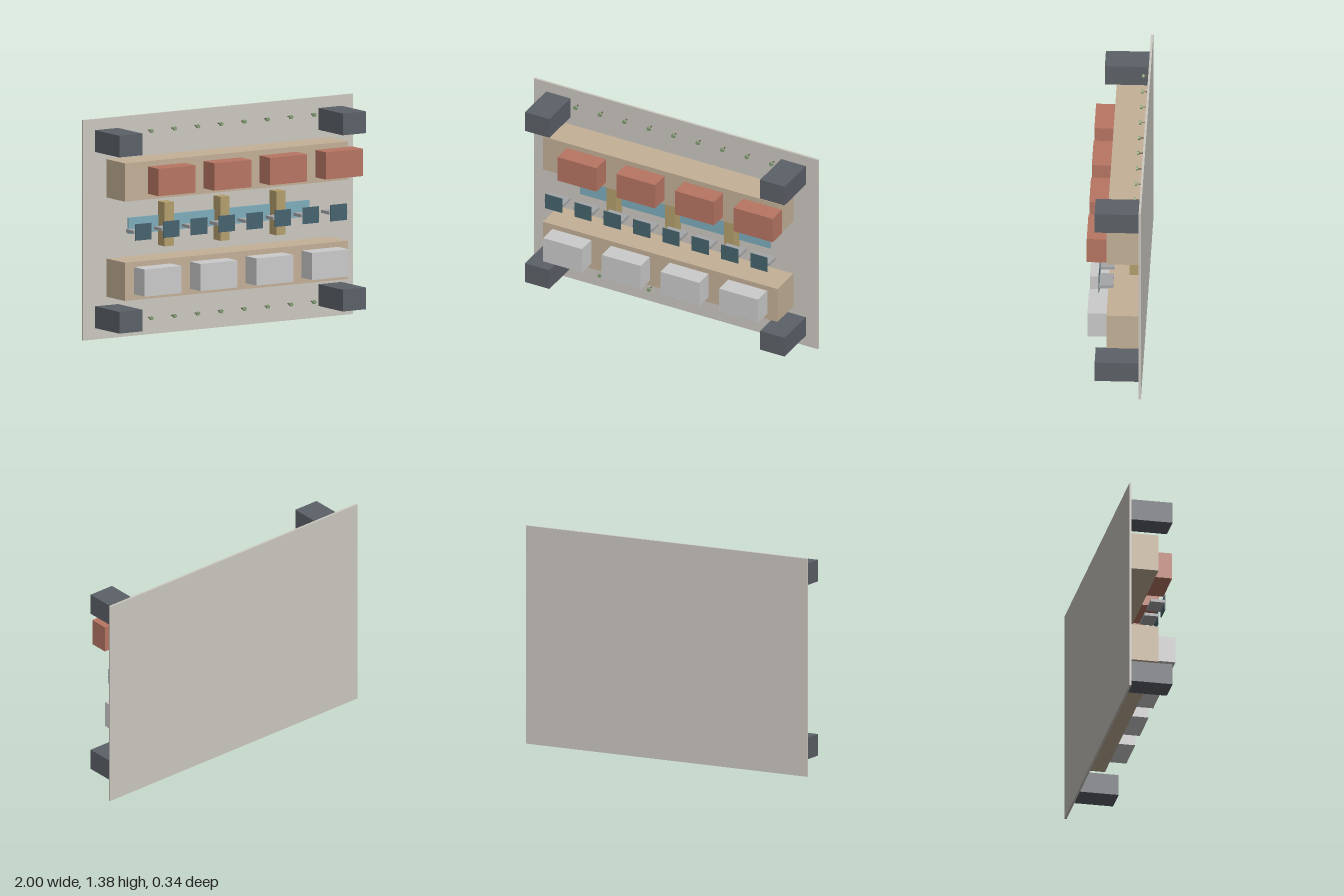
import * as THREE from 'three';

const WALL_Z = -0.156; // front face of the back panel

export function createModel() {
  const model = new THREE.Group();
  const mat = (color) => new THREE.MeshStandardMaterial({ color });
  const paint = {
    panel: mat(0xcdc9c2), dark: mat(0x5c6168), tan: mat(0xc4b198), red: mat(0xb87663),
    pale: mat(0xd0d0d0), gold: mat(0xb5a06e), blue: mat(0x7fafbd), teal: mat(0x47646e),
    grey: mat(0xa4a6a8), green: mat(0x86a078), stem: mat(0x6b6048),
  };

  // Box given by x centre and width, and y and z ranges
  function box(name, material, x, width, y0, y1, z0, z1, parent = model) {
    const mesh = new THREE.Mesh(new THREE.BoxGeometry(width, y1 - y0, z1 - z0), material);
    mesh.position.set(x, (y0 + y1) / 2, (z0 + z1) / 2);
    mesh.name = name;
    parent.add(mesh);
  }

  // Cylinder whose axis runs along z
  function disc(name, material, x, y, radius, z0, z1, sides, parent) {
    const geometry = new THREE.CylinderGeometry(radius, radius, z1 - z0, sides).rotateX(Math.PI / 2);
    const mesh = new THREE.Mesh(geometry, material);
    mesh.position.set(x, y, (z0 + z1) / 2);
    mesh.name = name;
    parent.add(mesh);
  }

  box('backPanel', paint.panel, 0, 2, 0, 1.38, -0.17, WALL_Z);

  // Corner blocks
  for (const x of [-0.828, 0.828]) {
    for (const y of [0.072, 1.175]) box('cornerBlock', paint.dark, x, 0.172, y, y + 0.136, WALL_Z, 0.12);
  }

  // Two long beams
  box('lowerBeam', paint.tan, 0, 1.652, 0.26, 0.5, WALL_Z, 0.05);
  box('upperBeam', paint.tan, 0, 1.652, 0.882, 1.122, WALL_Z, 0.05);

  // Blocks mounted on the beams
  for (let i = 0; i < 4; i++) {
    box('lowerBlock', paint.pale, -0.622 + i * 0.4133, 0.274, 0.297, 0.467, 0.05, 0.171);
    box('upperBlock', paint.red, -0.519 + i * 0.4133, 0.274, 0.917, 1.088, 0.05, 0.171);
  }

  // Middle strip and its dividers
  box('middleStrip', paint.blue, 0, 1.34, 0.64, 0.743, WALL_Z, -0.147);
  for (const x of [-0.4133, 0, 0.4133]) box('divider', paint.gold, x, 0.068, 0.554, 0.829, WALL_Z, -0.078);

  // Row of small upright plates, each with a flat shelf behind
  for (let i = 0; i < 8; i++) {
    const stand = new THREE.Group();
    stand.name = 'plateStand';
    const x = -0.723 + i * 0.2066;
    box('plate', paint.teal, x, 0.12, 0.64, 0.743, 0.097, 0.102, stand);
    box('shelf', paint.grey, x, 0.138, 0.683, 0.702, 0.01, 0.097, stand);
    model.add(stand);
  }

  // Rows of round-headed pins along the top and bottom
  for (const y of [0.105, 1.278]) {
    for (let i = 0; i < 9; i++) {
      const pin = new THREE.Group();
      pin.name = 'pin';
      const x = (i - 4) * 0.1723;
      disc('pinStem', paint.stem, x, y, 0.004, WALL_Z, -0.128, 8, pin);
      disc('pinHead', paint.green, x, y, 0.0125, -0.128, -0.114, 16, pin);
      model.add(pin);
    }
  }
  return model;
}
